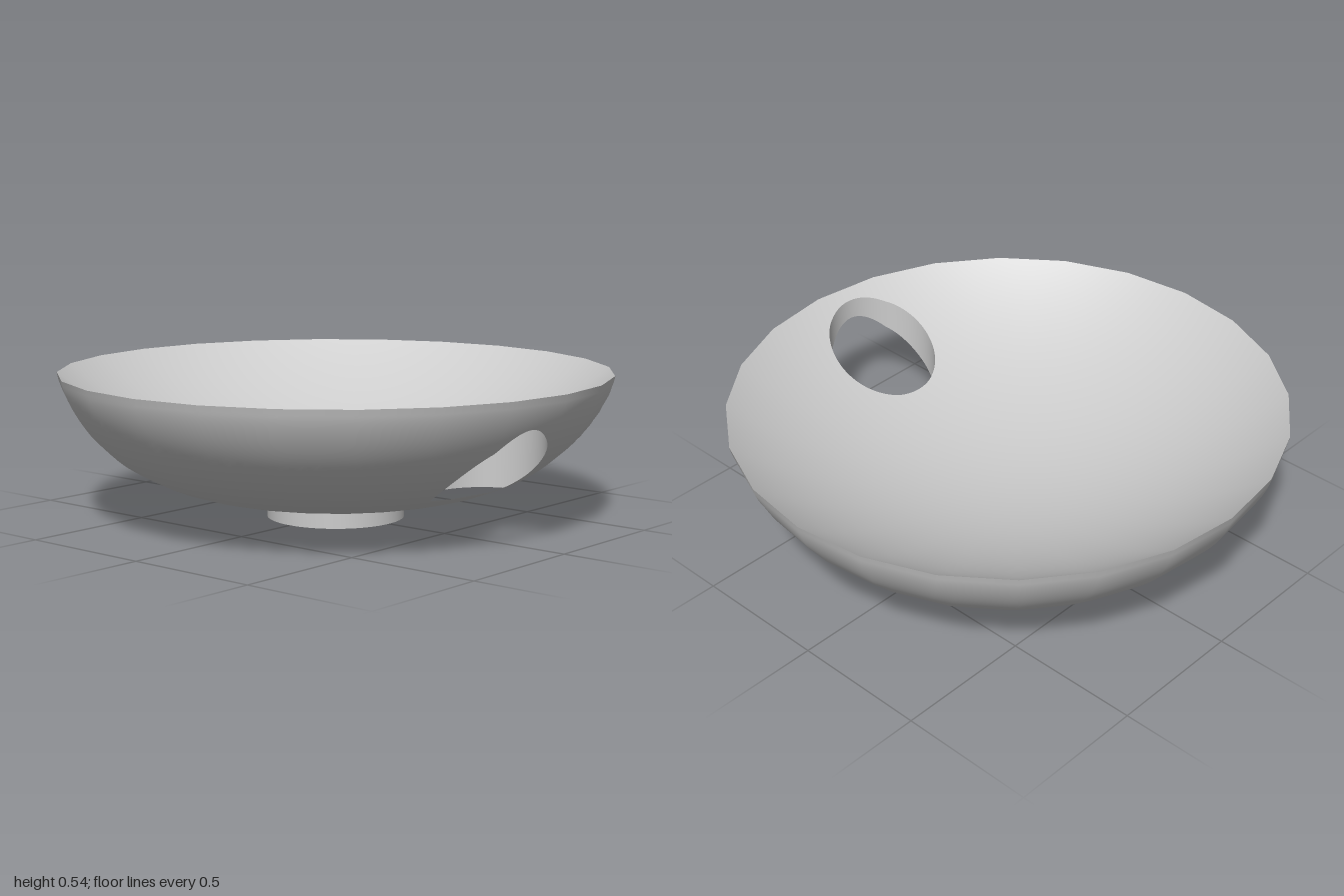
import * as THREE from 'three';
import { toCreasedNormals } from 'three/addons/utils/BufferGeometryUtils.js';

const RIM_Y = 0.535, SIDES = 24, STEP = (2 * Math.PI) / SIDES;
const HOLE = { x: 0.745, z: 0.09, r: 0.2, floor: 0.17 };

// Bowl profiles: height as a function of radius
const outerY = (r) => RIM_Y - 0.46 * Math.pow(Math.max(0, 1 - Math.pow(r, 3.5)), 0.72);
const innerY = (r) => RIM_Y - 0.345 + 1.622 - Math.sqrt(1.622 ** 2 - r * r);

// Radius measured on the 24-sided ring that passes through (x, z)
function ringRadius(x, z) {
  const a = Math.atan2(z, x);
  const d = a - (Math.floor(a / STEP) + 0.5) * STEP;
  return (Math.hypot(x, z) * Math.cos(d)) / Math.cos(STEP / 2);
}

// Bisect a rising test between lo and hi
function solve(test, lo, hi) {
  for (let i = 0; i < 50; i++) {
    const mid = (lo + hi) / 2;
    if (test(mid)) hi = mid; else lo = mid;
  }
  return (lo + hi) / 2;
}

// Grid surface from rows of points, closed around
function loft(rows, flip, normalAt) {
  const n = rows[0].length, pos = [], nor = [], index = [];
  rows.forEach((row) => row.forEach((p, j) => {
    pos.push(p.x, p.y, p.z);
    const v = normalAt(p, j).normalize();
    nor.push(v.x, v.y, v.z);
  }));
  for (let i = 0; i < rows.length - 1; i++) {
    for (let j = 0; j < n; j++) {
      const k = (j + 1) % n;
      const a = i * n + j, b = a + n, c = i * n + k, d = c + n;
      if (flip) index.push(a, c, b, b, c, d);
      else index.push(a, b, c, b, d, c);
    }
  }
  const g = new THREE.BufferGeometry();
  g.setAttribute('position', new THREE.Float32BufferAttribute(pos, 3));
  g.setAttribute('normal', new THREE.Float32BufferAttribute(nor, 3));
  g.setIndex(index);
  return g;
}

export function createModel() {
  const group = new THREE.Group();
  const material = new THREE.MeshStandardMaterial({ color: 0xcccccc });
  const add = (name, geometry) => {
    const mesh = new THREE.Mesh(geometry, material);
    mesh.name = name;
    group.add(mesh);
  };

  // Directions around the hole, including every corner of the rim
  const angles = [];
  for (let i = 0; i < 144; i++) angles.push(-Math.PI + (i * 2 * Math.PI) / 144 + 0.003);
  for (let i = 0; i < SIDES; i++) {
    angles.push(Math.atan2(Math.sin(i * STEP) - HOLE.z, Math.cos(i * STEP) - HOLE.x));
  }
  angles.sort((a, b) => a - b);

  const at = (a, d) => [HOLE.x + d * Math.cos(a), HOLE.z + d * Math.sin(a)];
  const point = (a, d, height) => {
    const [x, z] = at(a, d);
    return new THREE.Vector3(x, typeof height === 'number' ? height : height(ringRadius(x, z)), z);
  };

  // Distance to the rim, and to the edge of the cut in the outer surface
  const rim = angles.map((a) => solve((d) => ringRadius(...at(a, d)) > 1, 0.2, 3));
  const floorRadius = solve((r) => outerY(r) > HOLE.floor, 0, 1);
  const cut = angles.map((a) =>
    ringRadius(...at(a, HOLE.r)) >= floorRadius ? HOLE.r
      : solve((d) => ringRadius(...at(a, d)) < floorRadius, 0, HOLE.r));

  // Both skins run from the hole to the rim, with finer rows near the rim
  const skin = (start, height) => Array.from({ length: 41 }, (_, i) => {
    const t = Math.sin((i / 40) * Math.PI / 2);
    return angles.map((a, j) => point(a, start[j] + (rim[j] - start[j]) * t, height));
  });
  const skinNormal = (height, sign) => (p) => {
    const r = Math.max(1e-4, Math.min(0.995, ringRadius(p.x, p.z)));
    const slope = (height(r + 0.004) - height(r - 0.004)) / 0.008;
    const len = Math.hypot(p.x, p.z) || 1;
    return new THREE.Vector3((slope * p.x) / len, -1, (slope * p.z) / len).multiplyScalar(sign);
  };
  add('bowlOuterSurface', loft(skin(cut, outerY), false, skinNormal(outerY, 1)));
  add('bowlInnerSurface', loft(skin(angles.map(() => HOLE.r), innerY), true, skinNormal(innerY, -1)));

  // Wall of the round hole and the flat ledge where the cut stops
  const lower = (r) => Math.max(HOLE.floor, outerY(r));
  add('holeWall', loft(
    [lower, innerY].map((h) => angles.map((a) => point(a, HOLE.r, h))),
    true, (p, j) => new THREE.Vector3(-Math.cos(angles[j]), 0, -Math.sin(angles[j]))));
  add('holeLedge', loft(
    [angles.map((a, j) => point(a, cut[j], lower)), angles.map((a) => point(a, HOLE.r, lower))],
    false, () => new THREE.Vector3(0, -1, 0)));

  // Ring foot with a blind centre hole
  const ring = new THREE.Shape().absarc(0, 0, 0.25, 0, Math.PI * 2, false);
  ring.holes.push(new THREE.Path().absarc(0, 0, 0.1, 0, Math.PI * 2, true));
  const foot = new THREE.ExtrudeGeometry(ring, { depth: 0.08, bevelEnabled: false, curveSegments: 48 });
  foot.rotateX(-Math.PI / 2);
  add('foot', toCreasedNormals(foot, 0.6));

  return group;
}
